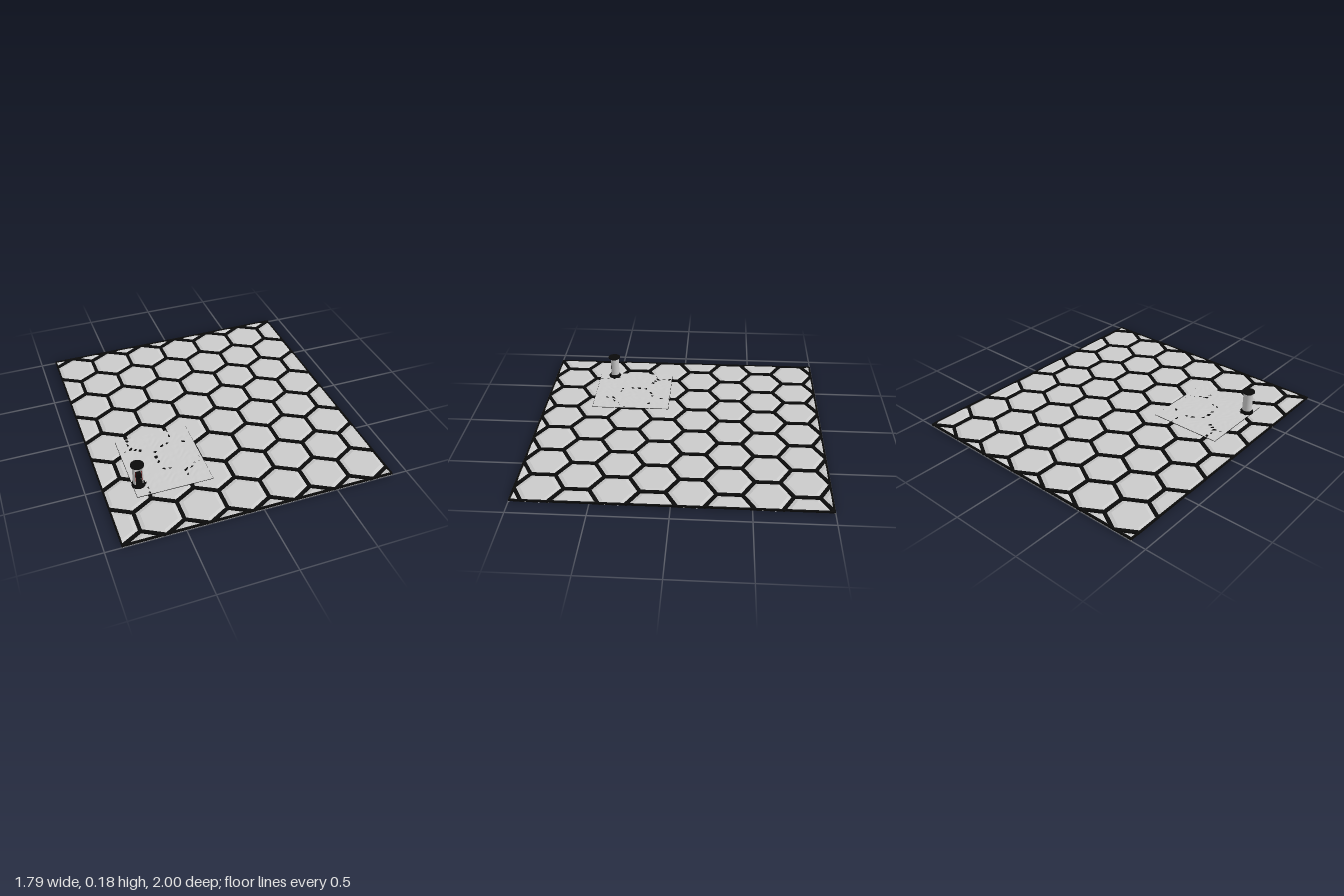
import * as THREE from 'three';

const W = 0.897, D = 1;            // half extents of the floor
const R = 0.16, STEP = R * Math.sqrt(3); // hexagon side and column spacing
const V = (x, y, z) => new THREE.Vector3(x, y, z);
const mat = (color, side = THREE.FrontSide) => new THREE.MeshStandardMaterial({ color, side });

// Cut a polygon to the rectangular floor outline
function clip(poly) {
  for (const [axis, sign, limit] of [['x', 1, W], ['x', -1, W], ['z', 1, D], ['z', -1, D]]) {
    const out = [];
    poly.forEach((a, i) => {
      const b = poly[(i + 1) % poly.length];
      const da = limit - sign * a[axis], db = limit - sign * b[axis];
      if (da >= 0) out.push(a);
      if ((da > 0 && db < 0) || (da < 0 && db > 0)) out.push(a.clone().lerp(b, da / (da - db)));
    });
    poly = out;
  }
  return poly;
}

// Collect clipped polygons as a fan of triangles
function addFace(positions, poly) {
  const p = clip(poly);
  for (let i = 1; i + 1 < p.length; i++) {
    for (const v of [p[0], p[i], p[i + 1]]) positions.push(v.x, v.y, v.z);
  }
}

function faceMesh(name, positions, material) {
  const g = new THREE.BufferGeometry();
  g.setAttribute('position', new THREE.Float32BufferAttribute(positions, 3));
  g.computeVertexNormals();
  const mesh = new THREE.Mesh(g, material);
  mesh.name = name;
  return mesh;
}

// Corners listed counter-clockwise as seen from above
function hexRing(cx, cz, r, y) {
  return Array.from({ length: 6 }, (_, i) => {
    const a = i * Math.PI / 3;
    return V(cx + r * Math.sin(a), y, cz + r * Math.cos(a));
  });
}

export function createModel() {
  const root = new THREE.Group();
  root.name = 'hexFloorWithPost';
  const black = mat(0x0a0a0a), grey = mat(0xcccccc);
  const add = (parent, name, geometry, material, x, y, z) => {
    const m = new THREE.Mesh(geometry, material);
    m.name = name;
    m.position.set(x, y, z);
    parent.add(m);
    return m;
  };

  // Bevelled tiles and the raised strips between them
  const tiles = [], strips = [];
  for (let row = -1; row <= 8; row++) {
    const cz = -0.84 + row * 0.24;
    const shift = row % 2 === 0 ? STEP / 4 : -STEP / 4;
    for (let col = -4; col <= 4; col++) {
      const cx = shift + col * STEP;
      const rim = hexRing(cx, cz, R * 0.96, 0.002);
      const top = hexRing(cx, cz, R * 0.74, 0.012);
      const edge = hexRing(cx, cz, R, 0);
      addFace(tiles, top);
      for (let i = 0; i < 6; i++) {
        const j = (i + 1) % 6;
        addFace(tiles, [rim[i], rim[j], top[j], top[i]]);
      }
      // Three edges per hexagon cover the whole lattice
      for (let i = 0; i < 3; i++) {
        const a = edge[i], b = edge[i + 1];
        const dir = b.clone().sub(a).normalize();
        const n = V(dir.z, 0, -dir.x).multiplyScalar(0.011);
        const ext = dir.multiplyScalar(0.006);
        const pt = (p, s, e, y) => V(p.x + s * n.x + e * ext.x, y, p.z + s * n.z + e * ext.z);
        const lo = 0.002, hi = 0.0155;
        const ring = y => [pt(a, -1, -1, y), pt(a, 1, -1, y), pt(b, 1, 1, y), pt(b, -1, 1, y)];
        const l = ring(lo), h = ring(hi);
        addFace(strips, h);
        addFace(strips, l.slice().reverse());
        for (let k = 0; k < 4; k++) addFace(strips, [l[k], l[(k + 1) % 4], h[(k + 1) % 4], h[k]]);
      }
    }
  }
  root.add(faceMesh('floorTiles', tiles, mat(0xcccccc, THREE.DoubleSide)));
  root.add(faceMesh('gapStrips', strips, mat(0x0a0a0a, THREE.DoubleSide)));

  // Border rails
  for (const s of [-1, 1]) {
    add(root, 'endRail', new THREE.BoxGeometry(2 * W, 0.012, 0.012), black, 0, 0.01, s * (D - 0.006));
    add(root, 'sideRail', new THREE.BoxGeometry(0.01, 0.012, 2 * D), black, s * (W - 0.005), 0.01, 0);
    add(root, 'endFoot', new THREE.BoxGeometry(2 * W, 0.005, 0.006), grey, 0, 0.0025, s * (D - 0.004));
  }

  // Thin worn slab, slightly uneven so the strips show through in spots
  const slab = new THREE.BoxGeometry(0.5, 0.006, 0.556, 60, 1, 66);
  const p = slab.attributes.position;
  for (let i = 0; i < p.count; i++) {
    if (p.getY(i) < 0) continue;
    const x = p.getX(i), z = p.getZ(i);
    const wave = Math.sin(x * 83 + 2 * Math.sin(z * 37)) * Math.sin(z * 71 + 2 * Math.sin(x * 45));
    p.setY(i, 0.003 - 0.0013 * Math.max(0, wave - 0.1));
  }
  slab.computeVertexNormals();
  add(root, 'wornSlab', slab, grey, -0.452, 0.013, 0.37);
  add(root, 'slabEdge', new THREE.BoxGeometry(0.504, 0.003, 0.56), black, -0.452, 0.0125, 0.37);

  // Round post with an opening on its front
  const post = new THREE.Group();
  post.name = 'post';
  post.position.set(-0.665, 0, 0.54);
  root.add(post);
  const lathe = pts => new THREE.LatheGeometry(pts.map(q => new THREE.Vector2(...q)), 32);
  add(post, 'postBase', lathe([[0, 0.012], [0.044, 0.012], [0.044, 0.012], [0.044, 0.026],
    [0.044, 0.026], [0.035, 0.038], [0.035, 0.038], [0, 0.038]]), black, 0, 0, 0);
  add(post, 'postCap', lathe([[0, 0.169], [0.034, 0.169], [0.034, 0.169], [0.044, 0.178],
    [0.044, 0.178], [0.044, 0.184], [0.044, 0.184], [0, 0.184]]), black, 0, 0, 0);

  // Curved wall, open towards +z
  const open = 0.8, outer = 0.034, inner = 0.029;
  const wall = new THREE.Shape();
  wall.absarc(0, 0, outer, -Math.PI / 2 + open, 1.5 * Math.PI - open, false);
  wall.absarc(0, 0, inner, 1.5 * Math.PI - open, -Math.PI / 2 + open, true);
  const shell = new THREE.ExtrudeGeometry(wall, { depth: 0.135, bevelEnabled: false, curveSegments: 32 });
  shell.rotateX(-Math.PI / 2);
  add(post, 'postWall', shell, grey, 0, 0.036, 0);

  // Device held inside the opening
  add(post, 'device', new THREE.BoxGeometry(0.036, 0.034, 0.034), black, 0, 0.102, 0.01);
  const red = mat(0x8a1515);
  for (const s of [-1, 1]) {
    add(post, 'redRod', new THREE.CylinderGeometry(0.002, 0.002, 0.075, 8), red, s * 0.021, 0.103, 0.02);
  }
  return root;
}
